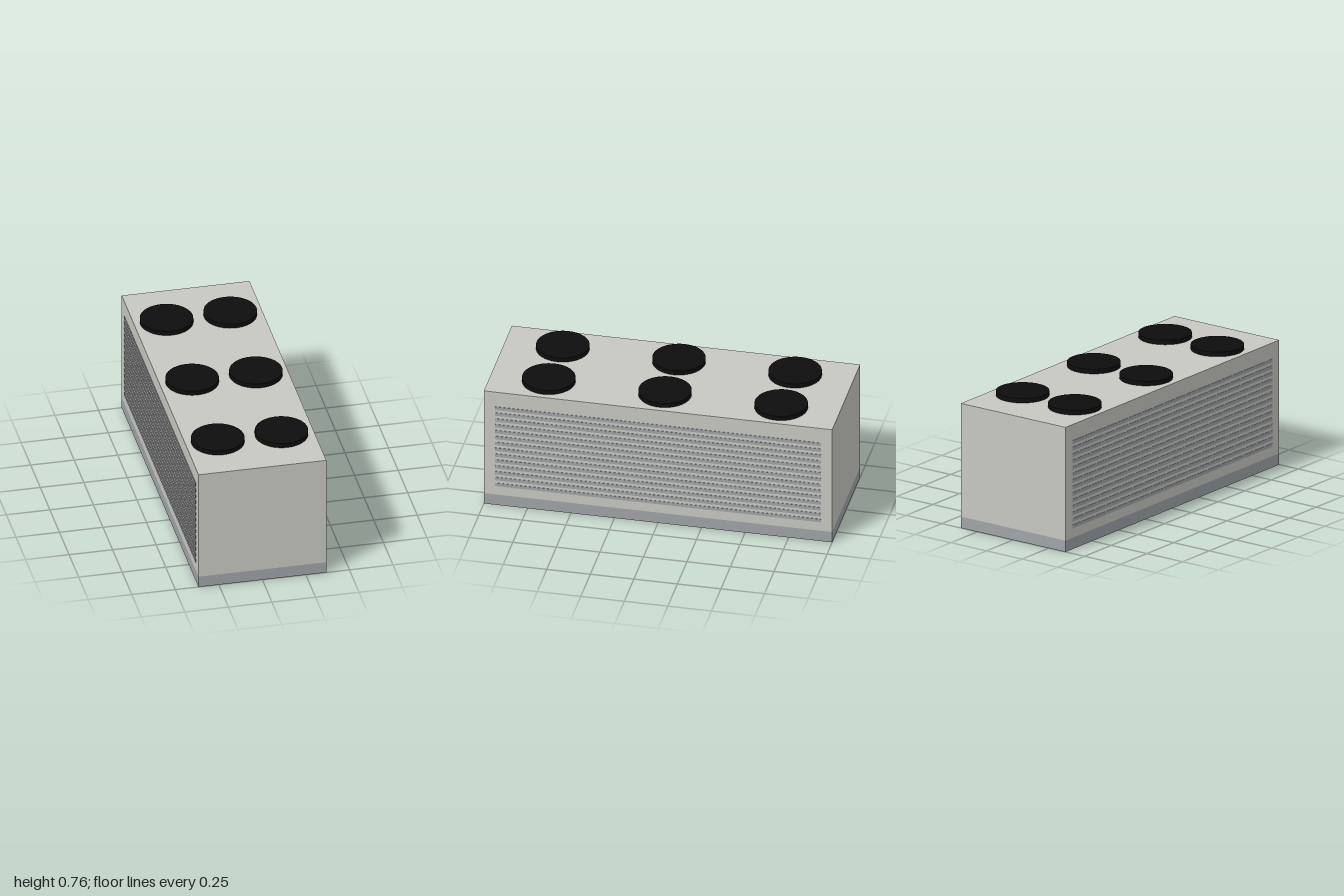
import * as THREE from 'three';

export function createModel() {
  const model = new THREE.Group();
  const material = (name, color) => {
    const m = new THREE.MeshStandardMaterial({ color });
    m.name = name;
    return m;
  };
  const casing = material('casing grey', 0xc8c8c2);
  const steel = material('steel grey', 0xa0a4a7);
  const black = material('fan black', 0x0d0d0d);

  const add = (name, geometry, mat, x, y, z) => {
    const mesh = new THREE.Mesh(geometry, mat);
    mesh.name = name;
    mesh.position.set(x, y, z);
    model.add(mesh);
  };

  const width = 0.734, baseTop = 0.067, top = 0.734;

  // Base plinth and main cabinet
  add('base', new THREE.BoxGeometry(width, baseTop, 2), steel, 0, baseTop / 2, 0);
  add('cabinet', new THREE.BoxGeometry(width, top - baseTop, 2), casing, 0, (top + baseTop) / 2, 0);

  // Louvre slats on both long sides
  const slat = new THREE.BoxGeometry(0.008, 0.02, 1.87);
  for (const side of [-1, 1]) {
    for (let i = 0; i < 14; i++) {
      add('louvreSlat', slat, steel, side * (width / 2 - 0.002), 0.133 + i * 0.0382, 0);
    }
  }

  // Two rows of three roof fans
  const fan = new THREE.CylinderGeometry(0.15, 0.15, 0.027, 48);
  for (const x of [-0.183, 0.183]) {
    for (const z of [-0.667, 0, 0.667]) add('roofFan', fan, black, x, top + 0.0135, z);
  }
  return model;
}
